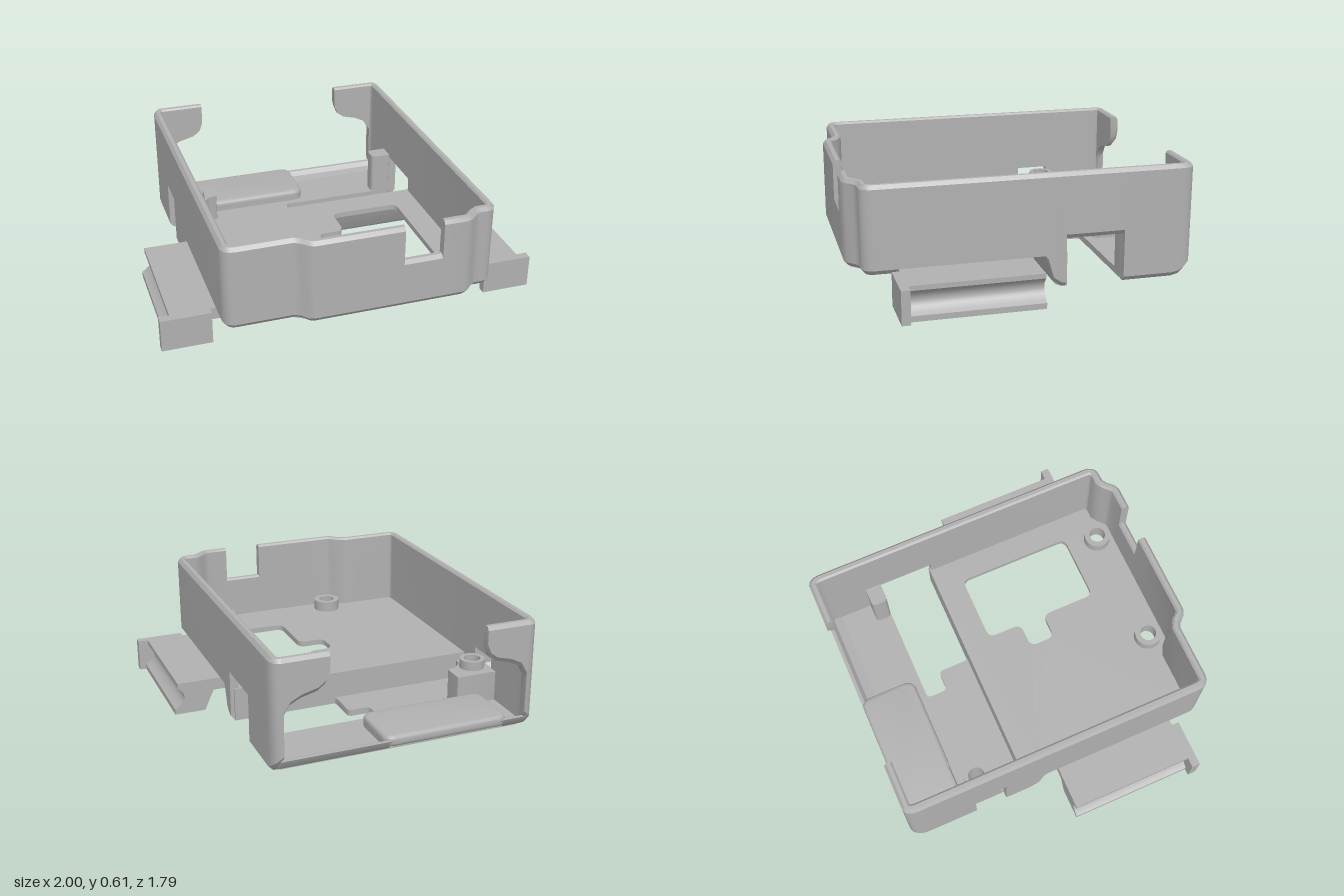
import * as THREE from 'three';
import { toCreasedNormals } from 'three/addons/utils/BufferGeometryUtils.js';

const grey = new THREE.MeshStandardMaterial({ color: 0xb0b0b0, side: THREE.DoubleSide });
grey.name = 'grey plastic';

// Polygon (x, z) with rounded corners, as a path on the ground plane
function rounded(pts, r, Type = THREE.Shape) {
  const path = new Type();
  const v = pts.map(([x, z]) => new THREE.Vector2(x, -z));
  v.forEach((p, i) => {
    const a = v[(i + v.length - 1) % v.length], b = v[(i + 1) % v.length];
    const ra = Math.min(r, p.distanceTo(a) / 2), rb = Math.min(r, p.distanceTo(b) / 2);
    const s = p.clone().add(a.clone().sub(p).setLength(ra));
    const e = p.clone().add(b.clone().sub(p).setLength(rb));
    if (i === 0) path.moveTo(s.x, s.y); else path.lineTo(s.x, s.y);
    if (r > 0) path.quadraticCurveTo(p.x, p.y, e.x, e.y);
  });
  path.closePath();
  return path;
}

function circle(x, z, r, Type = THREE.Path) {
  const c = new Type();
  c.absarc(x, -z, r, 0, Math.PI * 2, false);
  return c;
}

const rect = (x0, x1, z0, z1) => [[x0, z0], [x1, z0], [x1, z1], [x0, z1]];

// Plan shape raised from y0 to y1
function plate(shape, y0, y1, holes = [], bevel = 0) {
  shape.holes.push(...holes);
  const g = new THREE.ExtrudeGeometry(shape, {
    depth: y1 - y0 - bevel, bevelEnabled: bevel > 0, bevelSize: bevel, bevelOffset: -bevel,
    bevelThickness: bevel, bevelSegments: 3, curveSegments: 10,
  });
  g.rotateX(-Math.PI / 2).translate(0, y0, 0);
  return toCreasedNormals(g, 0.6);
}

// (z, y) profile stretched across from x0 to x1
function across(pts, x0, x1) {
  const shape = new THREE.Shape(pts.map(([z, y]) => new THREE.Vector2(-z, y)));
  const g = new THREE.ExtrudeGeometry(shape, { depth: x1 - x0, bevelEnabled: false });
  g.rotateY(Math.PI / 2).translate(x0, 0, 0);
  return toCreasedNormals(g, 0.6);
}

// Wall with bevelled edges swept along [x, z, bottom, top] stations
function sweepWall(st, thick) {
  const far = (i, d) => {
    let k = i + d;
    while (st[k] && Math.hypot(st[k][0] - st[i][0], st[k][1] - st[i][1]) < 1e-6) k += d;
    return st[k];
  };
  const pos = [], idx = [], n = 7;
  st.forEach(([x, z, y0, y1], i) => {
    const a = far(i, -1), b = far(i, 1);
    const d1 = a && new THREE.Vector2(x - a[0], z - a[1]).normalize();
    const d2 = b && new THREE.Vector2(b[0] - x, b[1] - z).normalize();
    const t = (d1 || d2).clone().add(d2 || d1).normalize();
    const miter = 1 / t.dot(d1 || d2);
    const section = [[0.02, y0], [0, y0 + 0.025], [0, y1 - 0.02], [0.015, y1],
      [thick - 0.01, y1], [thick, y1 - 0.01], [thick, y0]];
    section.forEach(([o, y]) => pos.push(x + t.y * o * miter, y, z - t.x * o * miter));
  });
  for (let i = 0; i < st.length - 1; i++) {
    for (let j = 0; j < n; j++) {
      const a = i * n + j, b = i * n + (j + 1) % n;
      idx.push(a, a + n, b, b, a + n, b + n);
    }
  }
  const last = (st.length - 1) * n;
  for (let j = 1; j < n - 1; j++) idx.push(0, j, j + 1, last, last + j + 1, last + j);
  const g = new THREE.BufferGeometry();
  g.setAttribute('position', new THREE.Float32BufferAttribute(pos, 3));
  g.setIndex(idx);
  return toCreasedNormals(g, 0.6);
}

// One side of the wall, from the front corner to the rear stub
function sideStations(s, windowFront) {
  return [
    [0.65, 0.83, 0.15], [0.675, 0.825, 0.15], [0.695, 0.81, 0.15], [0.708, 0.785, 0.15], [0.71, 0.76, 0.15],
    [0.71, -0.1, 0.15], [0.71, -0.115, 0.13], [0.71, -0.145, 0.03], [0.71, -0.19, 0],
    [0.71, windowFront, 0], [0.71, windowFront, 0.255], [0.71, -0.52, 0.255], [0.71, -0.52, 0],
    [0.71, -0.79, 0], [0.71, -0.83, 0.01], [0.705, -0.86, 0.03], [0.69, -0.885, 0.05], [0.67, -0.895, 0.07],
    [0.655, -0.895, 0.08], [0.655, -0.895, 0.3], [0.62, -0.895, 0.36], [0.56, -0.895, 0.39],
    [0.48, -0.895, 0.41], [0.44, -0.895, 0.44], [0.42, -0.895, 0.49],
  ].map(([x, z, y]) => [s * x, z, y, 0.605]);
}

export function createModel() {
  const model = new THREE.Group();
  model.name = 'openCase';
  const add = (name, geometry, parent = model) => {
    const mesh = new THREE.Mesh(geometry, grey);
    mesh.name = name;
    parent.add(mesh);
    return mesh;
  };

  // Outer wall, with the stepped front and its cable notch
  const front = [
    [-0.36, 0.83], [-0.33, 0.845], [-0.3, 0.88], [-0.27, 0.893], [0.19, 0.893], [0.19, 0.893, 0.415],
    [0.395, 0.893, 0.415], [0.395, 0.893], [0.52, 0.893], [0.55, 0.88], [0.585, 0.845], [0.61, 0.83],
  ].map(([x, z, top = 0.605]) => [x, z, 0.15, top]);
  add('outerWall', sweepWall(
    [...sideStations(-1, -0.34).reverse(), ...front, ...sideStations(1, -0.21)], 0.045));

  // Raised front floor with window and screw holes
  const screws = [[-0.215, 0.755], [0.455, 0.755]];
  const floorWindow = rounded([[0.145, -0.07], [0.53, -0.07], [0.53, 0.58], [0.145, 0.58],
    [0.145, 0.27], [0, 0.27], [0, 0.125], [0.145, 0.125]], 0.045, THREE.Path);
  add('frontFloor', plate(rounded([[-0.68, -0.15], [0.68, -0.15], [0.68, 0.8], [0.6, 0.81], [0.53, 0.86],
    [-0.28, 0.86], [-0.36, 0.81], [-0.68, 0.8]], 0), 0.15, 0.18,
  [floorWindow, ...screws.map(([x, z]) => circle(x, z, 0.045))]));
  for (const [x, z] of screws) {
    add('screwBoss', plate(circle(x, z, 0.075, THREE.Shape), 0.175, 0.24, [circle(x, z, 0.045)]));
  }

  // Sloping step between the floors
  add('floorStep', across([[-0.1, 0.15], [-0.115, 0.13], [-0.145, 0.03], [-0.16, 0.01], [-0.19, 0],
    [-0.22, 0], [-0.22, 0.18], [-0.1, 0.18]], -0.69, 0.69));

  // Lower rear floor, cut open towards the right window
  const pocket = rounded(rect(-0.53, 0.08, -0.84, -0.6), 0.04, THREE.Path);
  add('rearFloor', plate(rounded([[-0.67, -0.82], [0.67, -0.82], [0.67, -0.52], [0, -0.52], [0, -0.4],
    [0.12, -0.4], [0.12, -0.22], [0.15, -0.21], [-0.67, -0.21]], 0.03), 0, 0.035,
  [rounded(rect(-0.53, 0.08, -0.81, -0.6), 0.04, THREE.Path)]));
  add('rearLip', across([[-0.79, 0], [-0.83, 0.01], [-0.86, 0.03], [-0.88, 0.07], [-0.86, 0.07],
    [-0.84, 0.045], [-0.79, 0.035]], -0.67, 0.67));

  // Raised tray over a shallow pocket, with two slanted ribs beneath
  add('trayRim', plate(rounded(rect(-0.57, 0.12, -0.87, -0.56), 0.06), 0.03, 0.06, [pocket]));
  add('tray', plate(rounded(rect(-0.57, 0.12, -0.88, -0.56), 0.06), 0.055, 0.095, [], 0.02));
  for (const x of [-0.33, -0.12]) {
    const rib = add('trayRib', plate(rounded(rect(-0.07, 0.07, -0.02, 0.02), 0.02), 0.02, 0.06));
    rib.position.set(x, 0, -0.71);
    rib.rotation.y = 0.6;
  }

  // Rear screw post and the small column beside the right window
  const hole = () => circle(-0.58, -0.46, 0.045);
  add('rearPost', plate(rounded([[-0.67, -0.57], [-0.44, -0.57], [-0.44, -0.45], [-0.49, -0.44],
    [-0.54, -0.39], [-0.54, -0.35], [-0.67, -0.35]], 0.008), 0.03, 0.2, [hole()]));
  add('rearPostBoss', plate(circle(-0.58, -0.46, 0.068, THREE.Shape), 0.195, 0.25, [hole()]));
  add('sideColumn', plate(rounded([[0.68, -0.61], [0.555, -0.61], [0.555, -0.52], [0.68, -0.52]], 0.025), 0.01, 0.27));

  // Side clips: a hollow-sided rail with an end stop
  for (const s of [1, -1]) {
    const clip = new THREE.Group();
    clip.name = s > 0 ? 'leftClip' : 'rightClip';
    model.add(clip);
    const rail = new THREE.Shape();
    rail.moveTo(s * 0.65, 0.175);
    rail.lineTo(s * 0.945, 0.175);
    rail.lineTo(s * 0.945, 0.15);
    rail.quadraticCurveTo(s * 0.87, 0.085, s * 0.965, 0.03);
    rail.lineTo(s * 0.965, 0);
    rail.lineTo(s * 0.8, 0);
    rail.lineTo(s * 0.75, 0.11);
    rail.lineTo(s * 0.65, 0.11);
    rail.closePath();
    const g = new THREE.ExtrudeGeometry(rail, { depth: 0.68, bevelEnabled: false, curveSegments: 10 });
    add('clipRail', toCreasedNormals(g.translate(0, 0, -0.03), 0.6), clip);
    const stop = add('clipStop', new THREE.BoxGeometry(0.26, 0.175, 0.045), clip);
    stop.position.set(s * 0.87, 0.0875, 0.6675);
  }
  return model;
}
